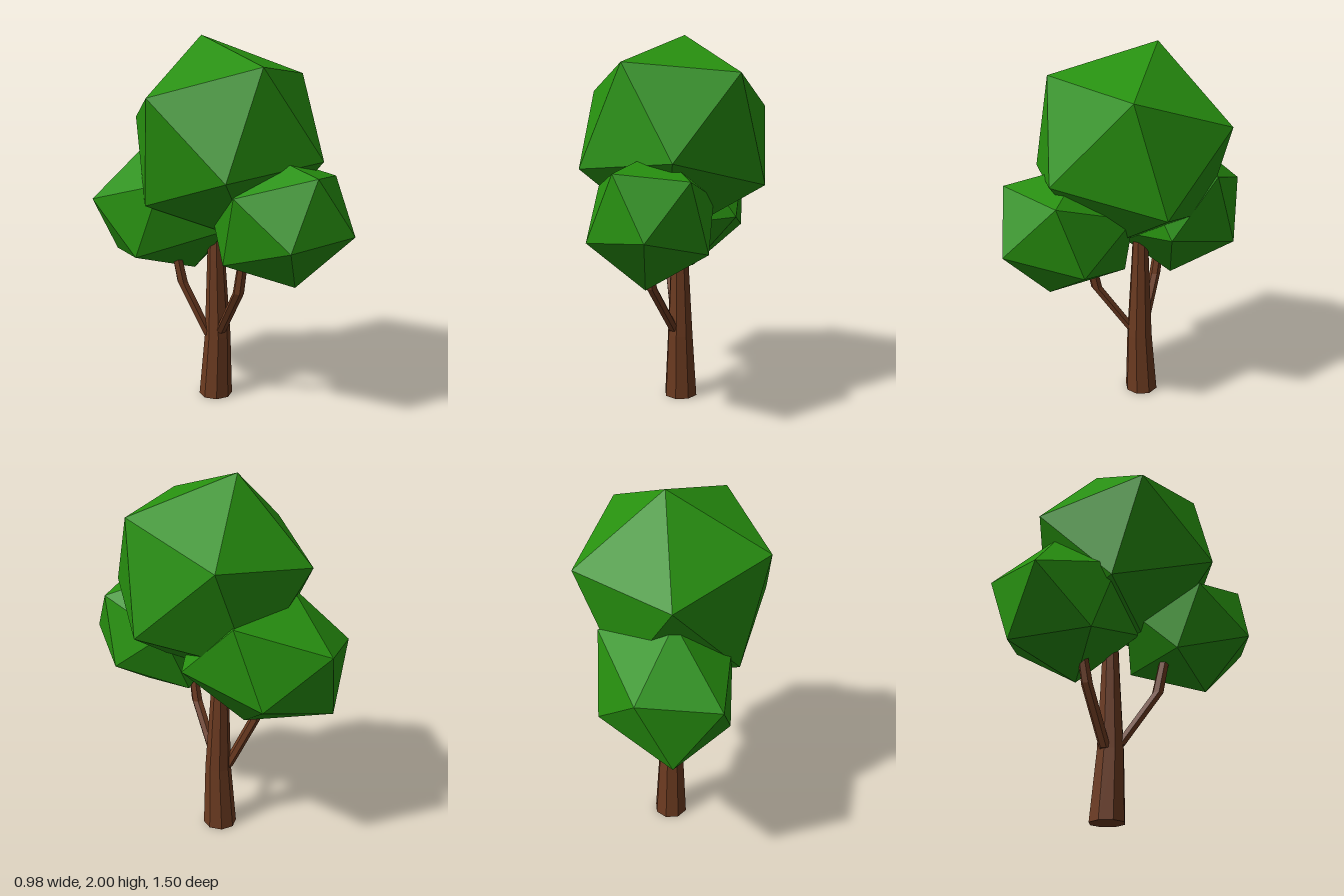
import * as THREE from 'three';

const leafMat = new THREE.MeshStandardMaterial({ color: 0x27900f, flatShading: true });
const barkMat = new THREE.MeshStandardMaterial({ color: 0x6b3a20, flatShading: true });

// Icosahedron about a centre, stretched so its first face lands on three given corners (anticlockwise)
function foliage(name, center, corners) {
  const geo = new THREE.IcosahedronGeometry(1, 0);
  const pos = geo.attributes.position;
  const c = new THREE.Vector3(...center);
  const from = [0, 1, 2].map(i => new THREE.Vector3().fromBufferAttribute(pos, i));
  const to = corners.map(p => new THREE.Vector3(...p).sub(c));
  const m = new THREE.Matrix4().makeBasis(...to)
    .multiply(new THREE.Matrix4().makeBasis(...from).invert())
    .setPosition(0, 0, 0);
  geo.applyMatrix4(m);
  geo.translate(c.x, c.y, c.z);
  geo.computeVertexNormals();
  const mesh = new THREE.Mesh(geo, leafMat);
  mesh.name = name;
  return mesh;
}

// Tapered, bent limb through stations [x, y, z, radius] listed from bottom to top
function limb(name, stations, sides, turn) {
  const n = stations.length - 1;
  const geo = new THREE.CylinderGeometry(1, 1, n, sides, n);
  geo.rotateY(turn);
  const pos = geo.attributes.position;
  for (let i = 0; i < pos.count; i++) {
    const [x, y, z, r] = stations[Math.round(pos.getY(i) + n / 2)];
    pos.setXYZ(i, x + pos.getX(i) * r, y, z + pos.getZ(i) * r);
  }
  geo.computeVertexNormals();
  const mesh = new THREE.Mesh(geo, barkMat);
  mesh.name = name;
  return mesh;
}

export function createModel() {
  const tree = new THREE.Group();
  tree.name = 'tree';

  // Trunk and its two bent branches
  tree.add(limb('trunk', [
    [0.01, 0, -0.093, 0.093],
    [0.01, 0.36, -0.078, 0.072],
    [0.005, 0.8, -0.083, 0.05],
    [0.005, 1.1, -0.085, 0.037],
  ], 8, -0.09));
  tree.add(limb('frontBranch', [
    [-0.015, 0.39, -0.04, 0.03],
    [-0.095, 0.67, 0.14, 0.031],
    [-0.11, 0.92, 0.19, 0.026],
  ], 6, 0.3));
  tree.add(limb('backBranch', [
    [-0.02, 0.36, -0.12, 0.03],
    [-0.085, 0.66, -0.25, 0.031],
    [-0.1, 0.9, -0.3, 0.026],
  ], 6, 0.3));

  // Leaf masses
  tree.add(foliage('topFoliage', [0, 1.47, -0.015],
    [[0.01, 2, -0.18], [-0.19, 1.85, 0.35], [0.38, 1.8, 0.22]]));
  tree.add(foliage('frontFoliage', [-0.035, 1.083, 0.354],
    [[0.03, 1.04, 0.75], [0.2, 1.3, 0.54], [-0.15, 1.34, 0.64]]));
  tree.add(foliage('backFoliage', [-0.025, 1.085, -0.352],
    [[0.28, 0.92, -0.515], [0.31, 1.327, -0.36], [0.32, 1.04, -0.06]]));

  return tree;
}
